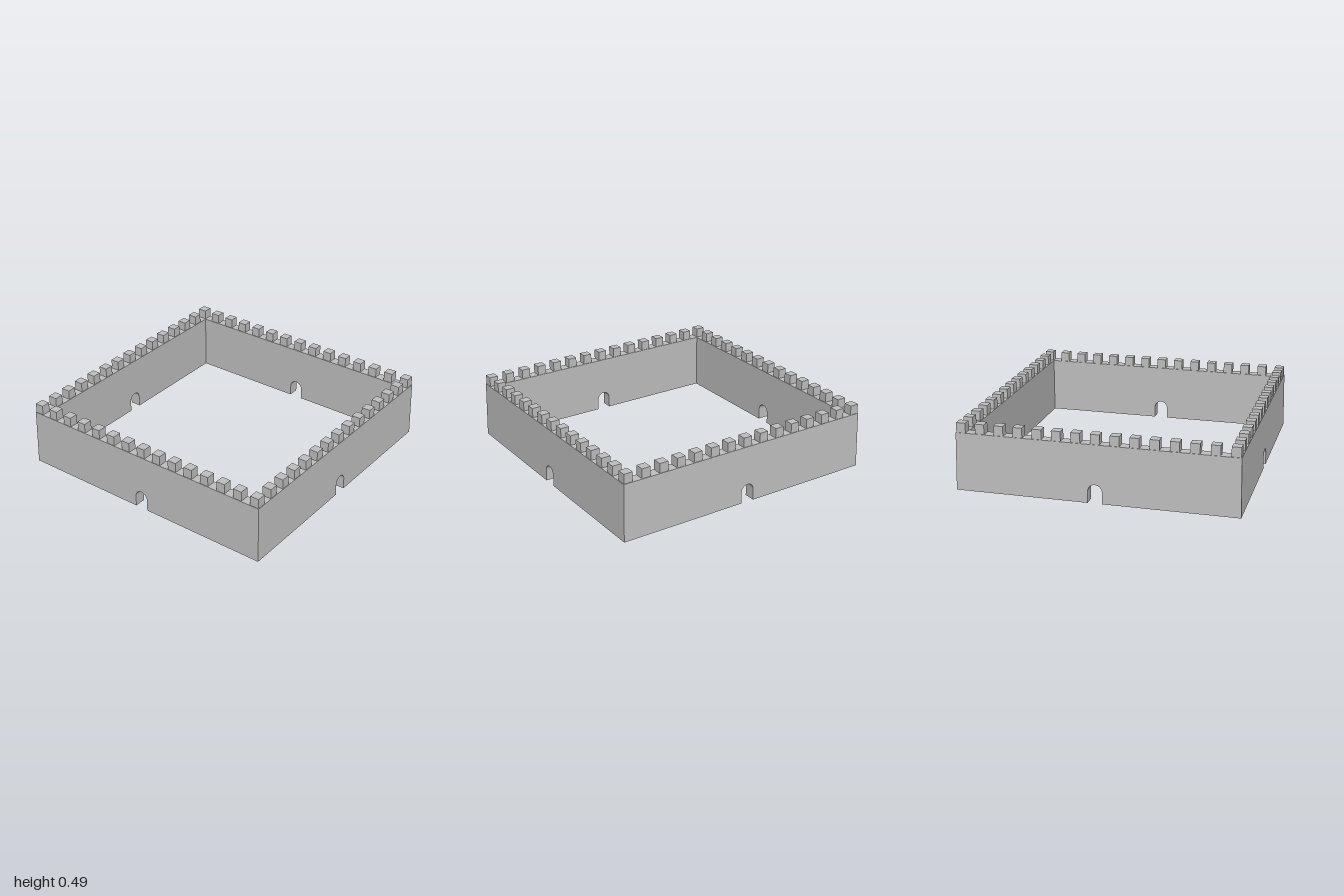
import * as THREE from 'three';

const INNER = 0.917, BASE = 1.0, TOP = 0.992; // half-widths of the ring
const HEIGHT = 0.418, MERLON = 0.066, MERLON_H = 0.071;
const GATE_R = 0.05, GATE_SPRING = 0.083;
const STEPS = 7, CORNER = 0.955; // merlons from the middle to a corner

// One wall with an arched gate, mitred at both ends and leaning in slightly outside
function wallGeometry() {
  const s = new THREE.Shape();
  s.moveTo(-1, 0);
  s.lineTo(-GATE_R, 0);
  s.lineTo(-GATE_R, GATE_SPRING);
  s.absarc(0, GATE_SPRING, GATE_R, Math.PI, 0, true);
  s.lineTo(GATE_R, 0);
  s.lineTo(1, 0);
  s.lineTo(1, HEIGHT);
  s.lineTo(-1, HEIGHT);
  const geo = new THREE.ExtrudeGeometry(s, { depth: 1, bevelEnabled: false, curveSegments: 12 });
  const p = geo.attributes.position;
  for (let i = 0; i < p.count; i++) {
    const x = p.getX(i), y = p.getY(i);
    const outer = BASE + (TOP - BASE) * y / HEIGHT;
    const z = p.getZ(i) > 0.5 ? outer : INNER;
    p.setXYZ(i, Math.abs(x) > 0.5 ? Math.sign(x) * z : x, y, z);
  }
  geo.computeVertexNormals();
  return geo;
}

export function createModel() {
  const stone = new THREE.MeshStandardMaterial({ color: 0xc0c0c0 });
  stone.name = 'light grey stone';
  const model = new THREE.Group();
  model.name = 'castleWalls';

  const wallGeo = wallGeometry();
  const merlonGeo = new THREE.BoxGeometry(MERLON, MERLON_H, MERLON);

  ['front', 'left', 'back', 'right'].forEach((side, k) => {
    const group = new THREE.Group();
    group.name = side + 'Side';
    group.rotation.y = k * Math.PI / 2;

    const wall = new THREE.Mesh(wallGeo, stone);
    wall.name = side + 'Wall';
    group.add(wall);

    // Each side owns one corner merlon; the next side supplies the other
    for (let i = -STEPS; i < STEPS; i++) {
      const merlon = new THREE.Mesh(merlonGeo, stone);
      merlon.name = side + 'Merlon';
      merlon.position.set(i * CORNER / STEPS, HEIGHT + MERLON_H / 2, CORNER);
      group.add(merlon);
    }
    model.add(group);
  });
  return model;
}
